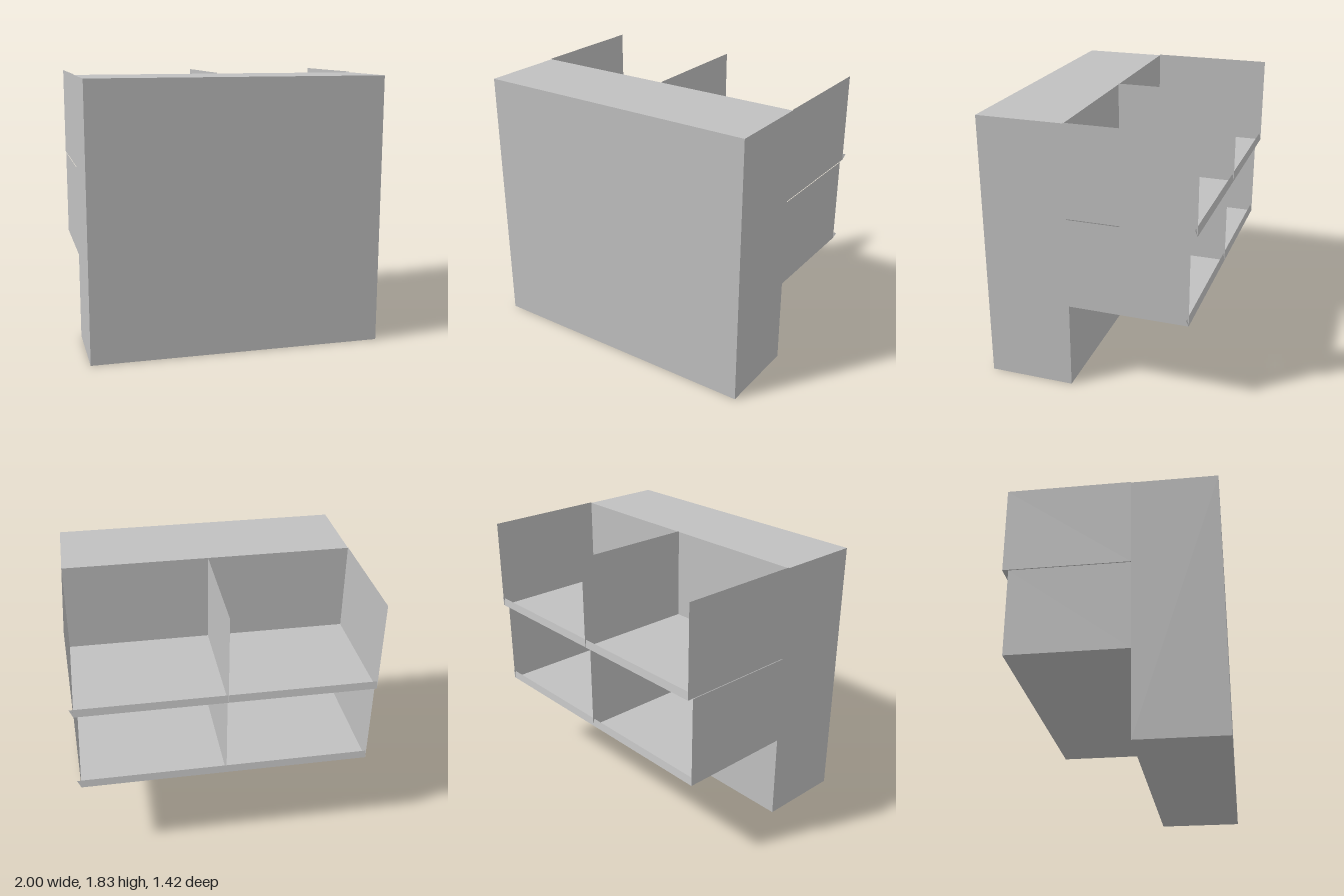
import * as THREE from 'three';

const LEFT = -1, RIGHT = 0.975, MID = (LEFT + RIGHT) / 2, WIDTH = RIGHT - LEFT;
const BACK = 0.13; // rear face of the cabinet body, where the shelves begin

export function createModel() {
  const group = new THREE.Group();
  const grey = new THREE.MeshStandardMaterial({ color: 0xc0c0c0, side: THREE.DoubleSide });
  grey.name = 'lightGrey';

  const add = (parent, name, geometry, x, y, z) => {
    const mesh = new THREE.Mesh(geometry, grey);
    mesh.name = name;
    mesh.position.set(x, y, z);
    parent.add(mesh);
  };

  // Solid counter body
  add(group, 'body', new THREE.BoxGeometry(WIDTH, 1.82, 0.58), MID, 0.91, 0.42);

  // Open shelf tier: floor, three upright panels and a rear lip
  const addTier = (name, y0, y1, rear) => {
    const tier = new THREE.Group();
    tier.name = name;
    const depth = BACK - rear, z = (BACK + rear) / 2, h = y1 - y0;
    add(tier, 'shelf', new THREE.PlaneGeometry(WIDTH, depth).rotateX(-Math.PI / 2), MID, y0, z);
    [['leftPanel', RIGHT], ['divider', MID], ['rightPanel', LEFT]].forEach(([panel, x]) =>
      add(tier, panel, new THREE.PlaneGeometry(depth, h).rotateY(Math.PI / 2), x, y0 + h / 2, z));

    // Lip leans slightly inward and flares past the left panel
    const lip = new THREE.Shape([
      new THREE.Vector2(LEFT, 0), new THREE.Vector2(RIGHT, 0),
      new THREE.Vector2(1, 0.052), new THREE.Vector2(LEFT, 0.052),
    ]);
    add(tier, 'lip', new THREE.ShapeGeometry(lip).rotateX(0.2), 0, y0, rear);
    group.add(tier);
  };
  addTier('lowerTier', 0.59, 1.2, -0.67);
  addTier('upperTier', 1.205, 1.825, -0.71);

  return group;
}
